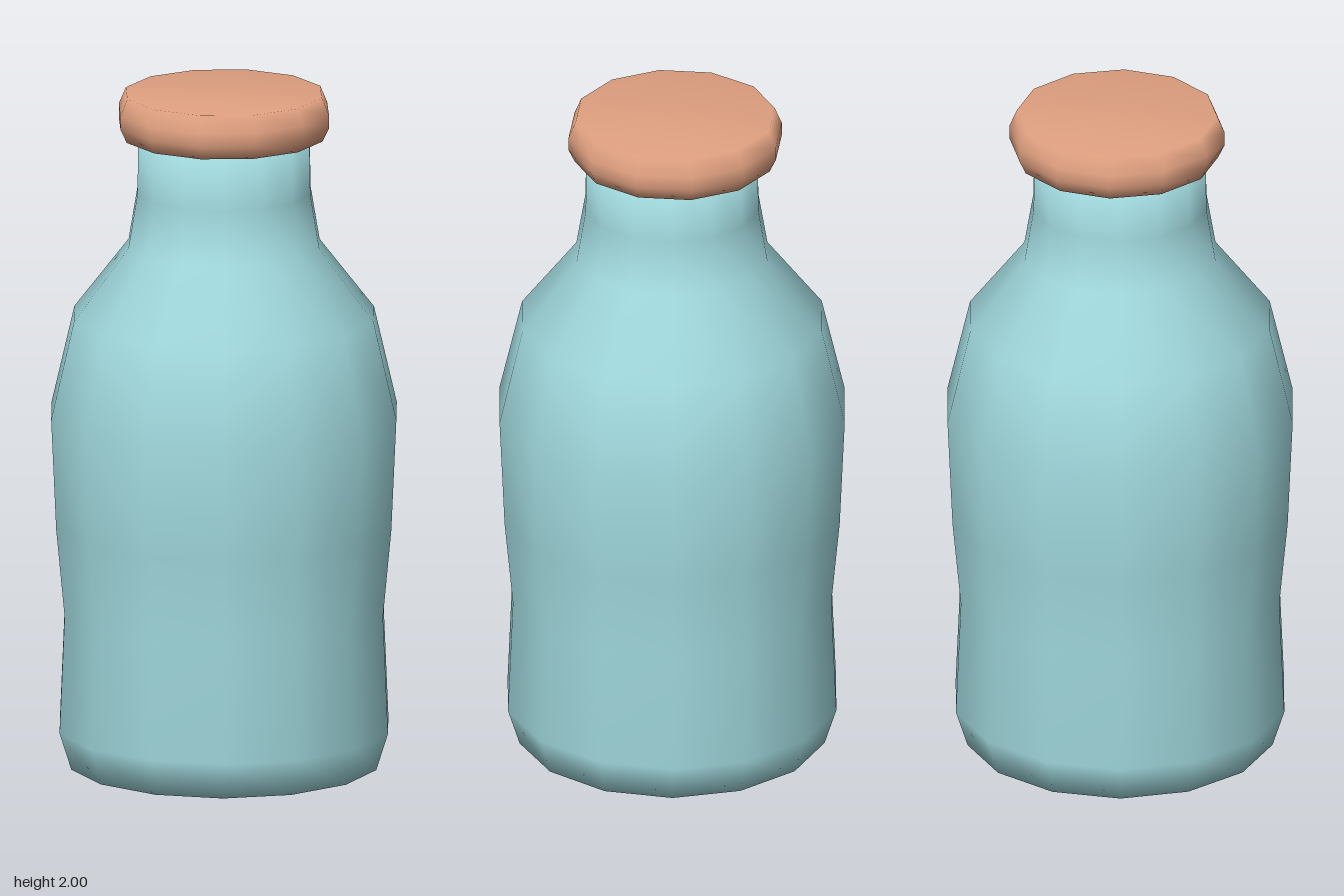
import * as THREE from 'three';

// Closed, smooth turned solid from [radius, height] pairs, bottom to top
function turned(name, profile, sides, startAngle, color) {
  const points = profile.map(([r, y]) => new THREE.Vector2(r, y));
  const geometry = new THREE.LatheGeometry(points, sides, startAngle);
  const mesh = new THREE.Mesh(geometry, new THREE.MeshStandardMaterial({ color }));
  mesh.name = name;
  return mesh;
}

export function createModel() {
  const model = new THREE.Group();
  model.name = 'corkedBottle';

  // Bottle: flat base, slight waist, wide shoulder, narrow neck hidden under the cork
  const bottle = turned('bottle', [
    [0, 0], [0.455, 0], [0.49, 0.11], [0.475, 0.46], [0.5, 0.72], [0.515, 1.05],
    [0.447, 1.34], [0.285, 1.55], [0.258, 1.71], [0.255, 1.9], [0, 1.9],
  ], 14, Math.PI / 2, 0xa0d8dd);

  // Cork: rounded disc, sitting slightly off centre
  const cork = turned('cork', [
    [0, 1.87], [0.295, 1.87], [0.314, 1.91], [0.314, 1.95], [0.293, 2], [0, 2],
  ], 12, 0, 0xe0a080);
  cork.position.set(-0.003, 0, -0.011);

  model.add(bottle, cork);
  return model;
}
